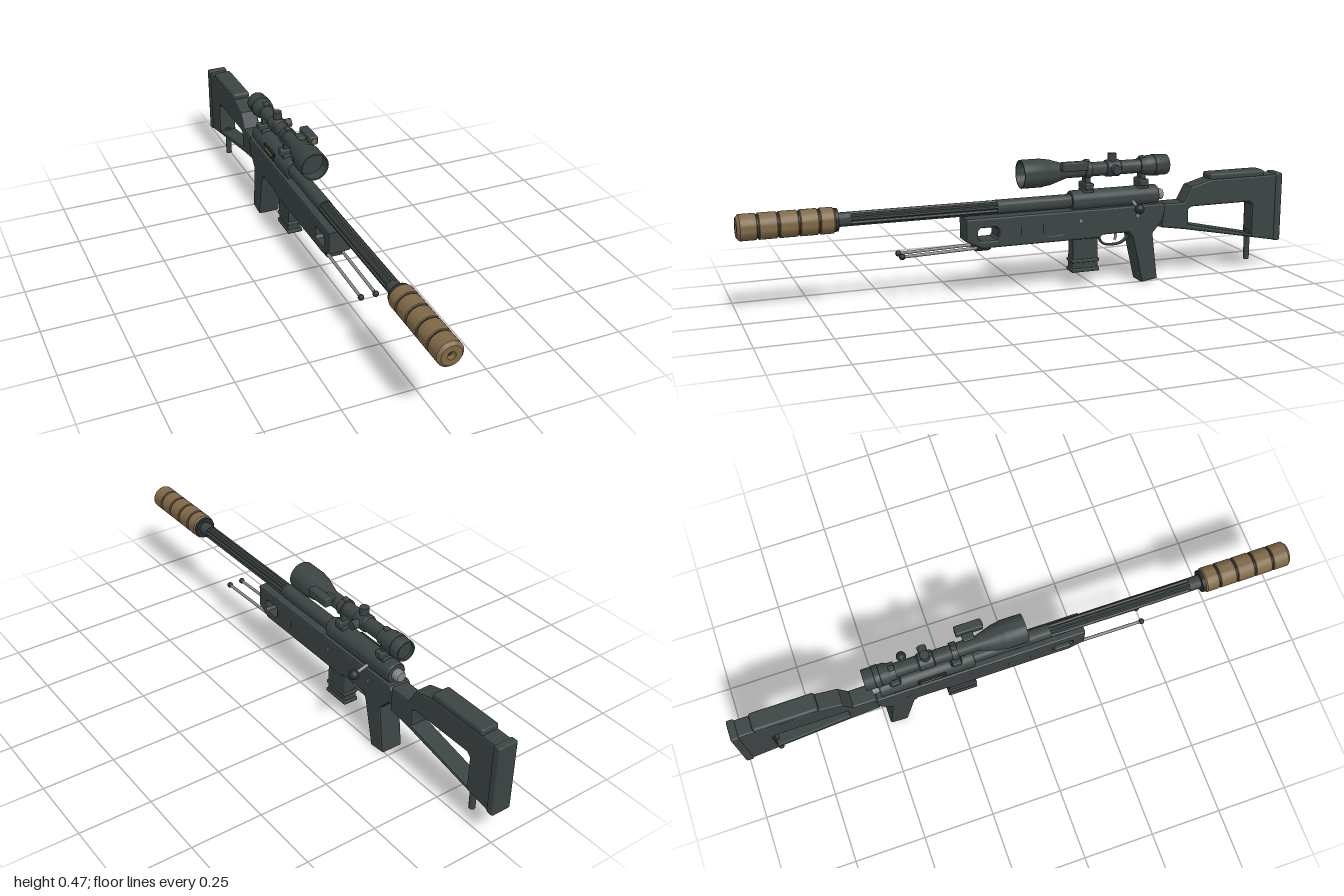
import * as THREE from 'three';
import { toCreasedNormals } from 'three/addons/utils/BufferGeometryUtils.js';
import { RoundedBoxGeometry } from 'three/addons/geometries/RoundedBoxGeometry.js';

const material = (name, color) => {
  const m = new THREE.MeshStandardMaterial({ color });
  m.name = name;
  return m;
};

export function createModel() {
  const body = material('dark grey green', 0x3b4343);
  const dark = material('near black', 0x282d2e);
  const steel = material('steel grey', 0x85878a);
  const tan = material('tan', 0x7e6846);

  const root = new THREE.Group();
  root.name = 'rifle';
  const model = new THREE.Group();
  model.name = 'rifleParts';
  model.position.x = -0.0285; // the bolt handle makes the model lopsided
  root.add(model);

  const add = (name, geometry, mat, x = 0, y = 0, z = 0) => {
    const mesh = new THREE.Mesh(geometry, mat);
    mesh.name = name;
    mesh.position.set(x, y, z);
    model.add(mesh);
    return mesh;
  };
  const box = (name, mat, w, h, d, x, y, z, r = 0.004) =>
    add(name, new RoundedBoxGeometry(w, h, d, 2, r), mat, x, y, z);
  // turned part along z, from [radius, z] points running back to front
  const turned = (name, mat, points, y, x = 0) => {
    const g = new THREE.LatheGeometry(points.map(p => new THREE.Vector2(...p)), 32);
    return add(name, toCreasedNormals(g.rotateX(Math.PI / 2), 0.5), mat, x, y, 0);
  };
  // round bar between two points
  const bar = (name, mat, a, b, r) => {
    const path = new THREE.LineCurve3(new THREE.Vector3(...a), new THREE.Vector3(...b));
    const mesh = add(name, new THREE.CylinderGeometry(r, r, path.getLength(), 16), mat);
    mesh.position.copy(path.getPoint(0.5));
    mesh.quaternion.setFromUnitVectors(new THREE.Vector3(0, 1, 0), path.getTangent(0));
    return mesh;
  };
  // side outline of [z, y] points, extruded across x with bevelled edges
  const slab = (name, mat, outline, width, holes = [], bevel = 0.007) => {
    const v = list => list.map(p => new THREE.Vector2(...p));
    const shape = new THREE.Shape(v(outline));
    holes.forEach(h => shape.holes.push(new THREE.Path(v(h))));
    const g = new THREE.ExtrudeGeometry(shape, {
      depth: width - 2 * bevel, bevelEnabled: true, bevelThickness: bevel,
      bevelSize: bevel, bevelOffset: -bevel, bevelSegments: 2,
    });
    g.translate(0, 0, bevel - width / 2).rotateY(-Math.PI / 2);
    return add(name, g, mat);
  };

  const axis = 0.314;  // bore height
  const sight = 0.422; // scope height

  // suppressor: tan segments parted by dark grooves
  const cuts = [0.675, 0.735, 0.8, 0.867, 0.933, 1];
  for (let i = 0; i < 5; i++) {
    const a = cuts[i] + 0.003, b = cuts[i + 1] - (i < 4 ? 0.003 : 0);
    const c0 = i ? 0.002 : 0.01, c1 = i < 4 ? 0.002 : 0.01;
    const front = i < 4 ? [[0, b]] : [[0.014, b], [0.014, b - 0.02]];
    turned('suppressorSegment', tan,
      [[0, a], [0.044 - c0, a], [0.044, a + c0], [0.044, b - c1], [0.044 - c1, b], ...front], axis);
  }
  turned('suppressorCore', dark, [[0, 0.672], [0.039, 0.672], [0.039, 0.98], [0, 0.98]], axis);

  // barrel with a fluted middle
  const ring = [];
  for (let i = 0; i < 48; i++) {
    const r = [0.024, 0.024, 0.024, 0.021, 0.019, 0.021][i % 6];
    const t = i * Math.PI / 24;
    ring.push(new THREE.Vector2(r * Math.cos(t), r * Math.sin(t)));
  }
  add('flutedBarrel', new THREE.ExtrudeGeometry(new THREE.Shape(ring),
    { depth: 0.51, bevelEnabled: false }), body, 0, axis, 0.12);
  turned('barrelBase', body, [[0, -0.17], [0.025, -0.17], [0.025, 0.12], [0, 0.12]], axis);
  turned('barrelTip', body, [[0, 0.63], [0.024, 0.63], [0.024, 0.68], [0, 0.68]], axis);

  // receiver, bolt and ejection port
  turned('receiver', body, [[0, -0.49], [0.034, -0.49], [0.037, -0.485], [0.037, -0.16],
    [0.034, -0.155], [0, -0.155]], axis);
  turned('boltShroud', steel, [[0, -0.515], [0.017, -0.515], [0.02, -0.51], [0.02, -0.48], [0, -0.48]], axis);
  box('ejectionPort', dark, 0.008, 0.026, 0.1, -0.0345, axis + 0.008, -0.31, 0.002);
  bar('cartridge', tan, [-0.033, axis + 0.008, -0.35], [-0.033, axis + 0.008, -0.275], 0.008);
  bar('boltHandle', steel, [0.025, 0.304, -0.385], [0.085, 0.287, -0.385], 0.006);
  add('boltKnob', new THREE.SphereGeometry(0.0175, 24, 16), dark, 0.0895, 0.285, -0.385);

  // chassis with fore-end slots and pistol grip
  const slots = [0.16, 0.08, 0, -0.082].map(z => {
    const w = 0.036, y0 = 0.208, y1 = 0.252, c = 0.009;
    return [[z - w + c, y0], [z + w - c, y0], [z + w, y0 + c], [z + w, y1 - c],
      [z + w - c, y1], [z - w + c, y1], [z - w, y1 - c], [z - w, y0 + c]];
  });
  slab('chassis', body, [[0.24, 0.288], [-0.505, 0.288], [-0.515, 0.275], [-0.505, 0.225],
    [-0.465, 0.18], [-0.487, 0.008], [-0.425, 0], [-0.385, 0.17], [-0.37, 0.19],
    [-0.27, 0.19], [-0.255, 0.18], [0.185, 0.18], [0.24, 0.208]], 0.082, slots);
  for (const z of [-0.18, -0.4]) {
    bar('crossPin', steel, [-0.044, 0.25, z], [0.044, 0.25, z], 0.006);
  }

  // magazine with ribs near its foot
  box('magazine', body, 0.048, 0.13, 0.096, 0, 0.125, -0.208);
  for (const [y, h] of [[0.064, 0.014], [0.098, 0.012]]) {
    box('magazineRib', body, 0.056, h, 0.106, 0, y, -0.208);
  }

  // trigger and guard
  const guard = new THREE.CatmullRomCurve3([[0.19, -0.268], [0.165, -0.272], [0.147, -0.29],
    [0.145, -0.35], [0.16, -0.375], [0.18, -0.39]].map(([y, z]) => new THREE.Vector3(0, y, z)));
  const guardGeometry = new THREE.TubeGeometry(guard, 32, 0.0045, 8);
  guardGeometry.scale(2, 1, 1);
  add('triggerGuard', guardGeometry, body);
  const trigger = new THREE.QuadraticBezierCurve3(new THREE.Vector3(0, 0.195, -0.325),
    new THREE.Vector3(0, 0.175, -0.342), new THREE.Vector3(0, 0.158, -0.33));
  add('trigger', new THREE.TubeGeometry(trigger, 12, 0.005, 8), steel);

  // folded bipod
  box('bipodMount', body, 0.06, 0.018, 0.05, 0, 0.179, 0.18);
  for (const s of [-1, 1]) {
    bar('bipodLeg', steel, [s * 0.026, 0.182, 0.17], [s * 0.026, 0.174, 0.462], 0.0055);
    bar('bipodHinge', dark, [s * 0.026, 0.182, 0.15], [s * 0.026, 0.181, 0.2], 0.009);
    add('bipodFoot', new THREE.SphereGeometry(0.0105, 16, 12), dark, s * 0.026, 0.174, 0.462);
  }

  // skeleton stock
  slab('stock', body, [[-0.505, 0.283], [-0.59, 0.283], [-0.62, 0.338], [-0.7, 0.36], [-0.98, 0.36],
    [-0.98, 0.107], [-0.6, 0.18], [-0.505, 0.195]], 0.066,
  [[[-0.612, 0.255], [-0.625, 0.263], [-0.865, 0.263], [-0.878, 0.25], [-0.878, 0.14], [-0.612, 0.198]]]);
  box('buttPad', body, 0.074, 0.258, 0.028, 0, 0.235, -0.986, 0.007);
  box('cheekRest', body, 0.066, 0.026, 0.225, 0, 0.367, -0.81, 0.009);
  bar('monopod', body, [0, 0.037, -0.878], [0, 0.15, -0.878], 0.011);

  // scope body with recessed ends
  turned('scope', body, [[0, -0.52], [0.03, -0.52], [0.03, -0.53], [0.035, -0.53], [0.037, -0.525],
    [0.037, -0.455], [0.025, -0.42], [0.025, -0.14], [0.045, -0.075], [0.048, -0.05],
    [0.05, -0.045], [0.05, 0.03], [0.045, 0.03], [0.045, -0.01], [0, -0.01]], sight);
  turned('eyepieceBand', body, [[0.036, -0.495], [0.039, -0.493], [0.039, -0.475], [0.036, -0.473]], sight);
  turned('turretHousing', body, [[0.024, -0.345], [0.03, -0.34], [0.03, -0.292], [0.024, -0.287]], sight);
  bar('elevationTurret', body, [0, sight, -0.316], [0, 0.475, -0.316], 0.016);
  bar('windageTurret', body, [0, sight, -0.316], [0.051, sight, -0.316], 0.016);

  // scope rings and their clamps
  for (const z of [-0.218, -0.432]) {
    turned('scopeRing', body, [[0.024, z - 0.011], [0.031, z - 0.011], [0.031, z + 0.011], [0.024, z + 0.011]], sight);
    box('ringPost', body, 0.036, 0.05, 0.02, 0, 0.378, z);
    box('ringClamp', body, 0.066, 0.024, 0.032, 0, 0.366, z);
    box('ringBase', body, 0.046, 0.02, 0.04, 0, 0.35, z);
    box('ringCap', body, 0.018, 0.012, 0.02, 0, 0.453, z);
  }

  // side aiming module beside the scope
  box('aimingModule', body, 0.032, 0.032, 0.095, 0.052, 0.447, -0.15, 0.005);
  box('aimingModuleArm', body, 0.036, 0.018, 0.04, 0.028, 0.44, -0.16);
  const lens = add('aimingLens', new THREE.CylinderGeometry(0.009, 0.009, 0.004, 20), tan, 0.052, 0.447, -0.1025);
  lens.rotation.x = Math.PI / 2;

  return root;
}
